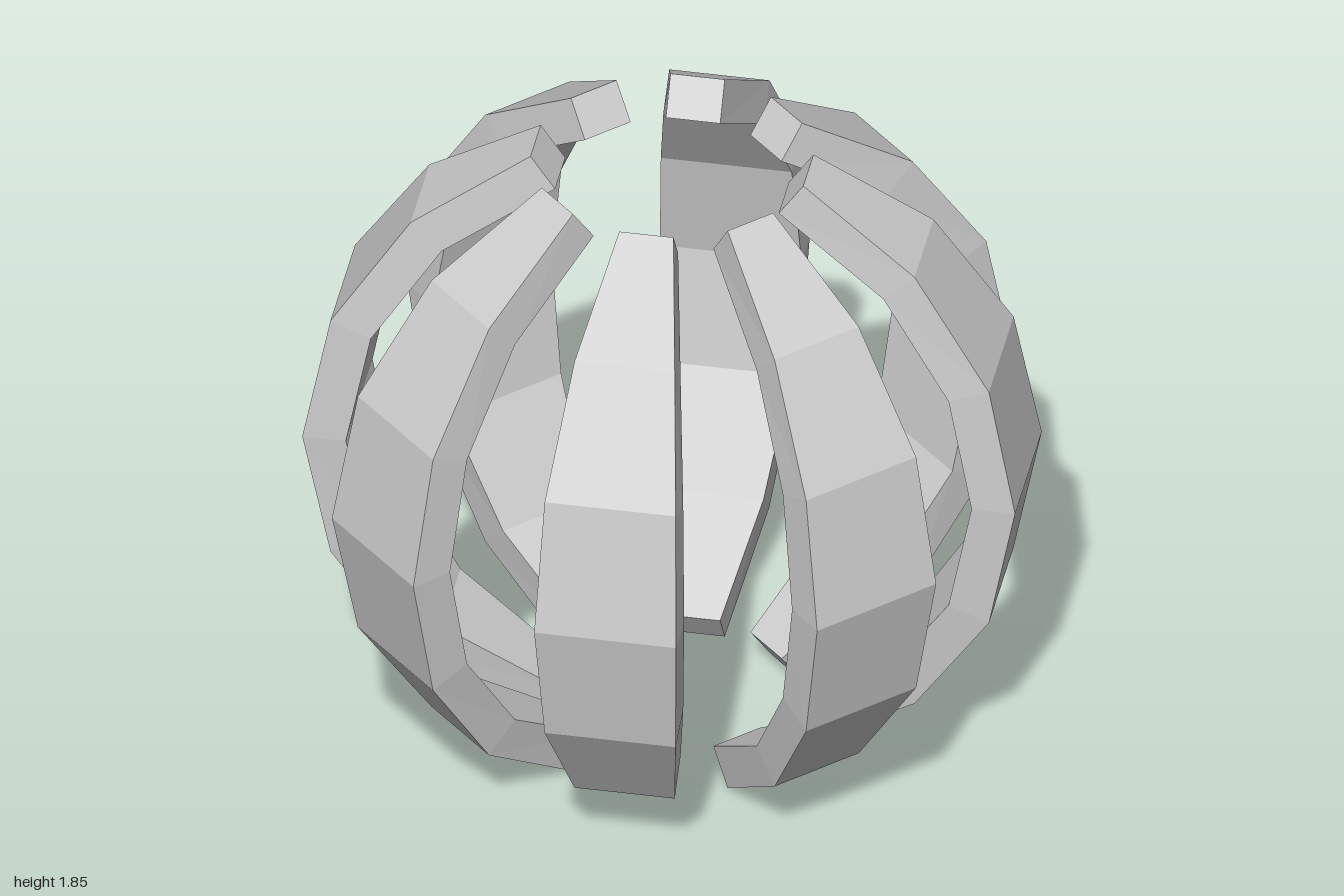
import * as THREE from 'three';

const STEP = Math.PI / 8;      // angle of one facet, both around and up
const THICKNESS = 0.12;
const RIBS = 8;

// One curved rib: a faceted slice of a sphere shell, built from four-cornered rings
function ribGeometry() {
  const half = STEP / 2;
  const profile = [];
  for (let i = -3; i <= 3; i++) profile.push(new THREE.Vector2(Math.cos(i * STEP), Math.sin(i * STEP)));

  // Outward direction of each band along the middle of the rib
  const bands = [];
  for (let i = 0; i < 6; i++) {
    const a = profile[i], b = profile[i + 1];
    bands.push(new THREE.Vector2(b.y - a.y, (a.x - b.x) * Math.cos(half)).normalize());
  }

  const base = Math.sin(3 * STEP);
  const positions = [], index = [];
  profile.forEach((p, i) => {
    const n = bands[Math.max(i - 1, 0)].clone().add(bands[Math.min(i, 5)]).normalize();
    const dx = n.x * THICKNESS * Math.cos(half);
    const dz = n.x * THICKNESS * Math.sin(half);
    const dy = n.y * THICKNESS;
    const y = p.y + base;
    const bx = p.x * Math.cos(STEP), bz = p.x * Math.sin(STEP);
    positions.push(p.x, y, 0, bx, y, bz);                                     // outer corners
    positions.push(bx - dx, y - dy, bz - dz, p.x - dx, y - dy, -dz);          // inner corners
  });

  const quad = (a, b, c, d) => index.push(a, b, c, a, c, d);
  for (let i = 0; i < 6; i++) {
    for (let j = 0; j < 4; j++) {
      const k = (j + 1) % 4, low = i * 4, up = low + 4;
      quad(low + j, up + j, up + k, low + k);
    }
  }
  quad(0, 1, 2, 3);         // bottom end
  quad(27, 26, 25, 24);     // top end

  const indexed = new THREE.BufferGeometry();
  indexed.setAttribute('position', new THREE.Float32BufferAttribute(positions, 3));
  indexed.setIndex(index);
  const geometry = indexed.toNonIndexed();
  geometry.computeVertexNormals();
  return geometry;
}

export function createModel() {
  const model = new THREE.Group();
  model.name = 'ribbedSphere';
  const geometry = ribGeometry();
  const material = new THREE.MeshStandardMaterial({ color: 0xcccccc, flatShading: true });

  // Ribs evenly spaced around the vertical axis
  for (let i = 0; i < RIBS; i++) {
    const rib = new THREE.Mesh(geometry, material);
    rib.name = `rib${i + 1}`;
    rib.rotation.y = (i / RIBS) * Math.PI * 2;
    model.add(rib);
  }
  return model;
}
